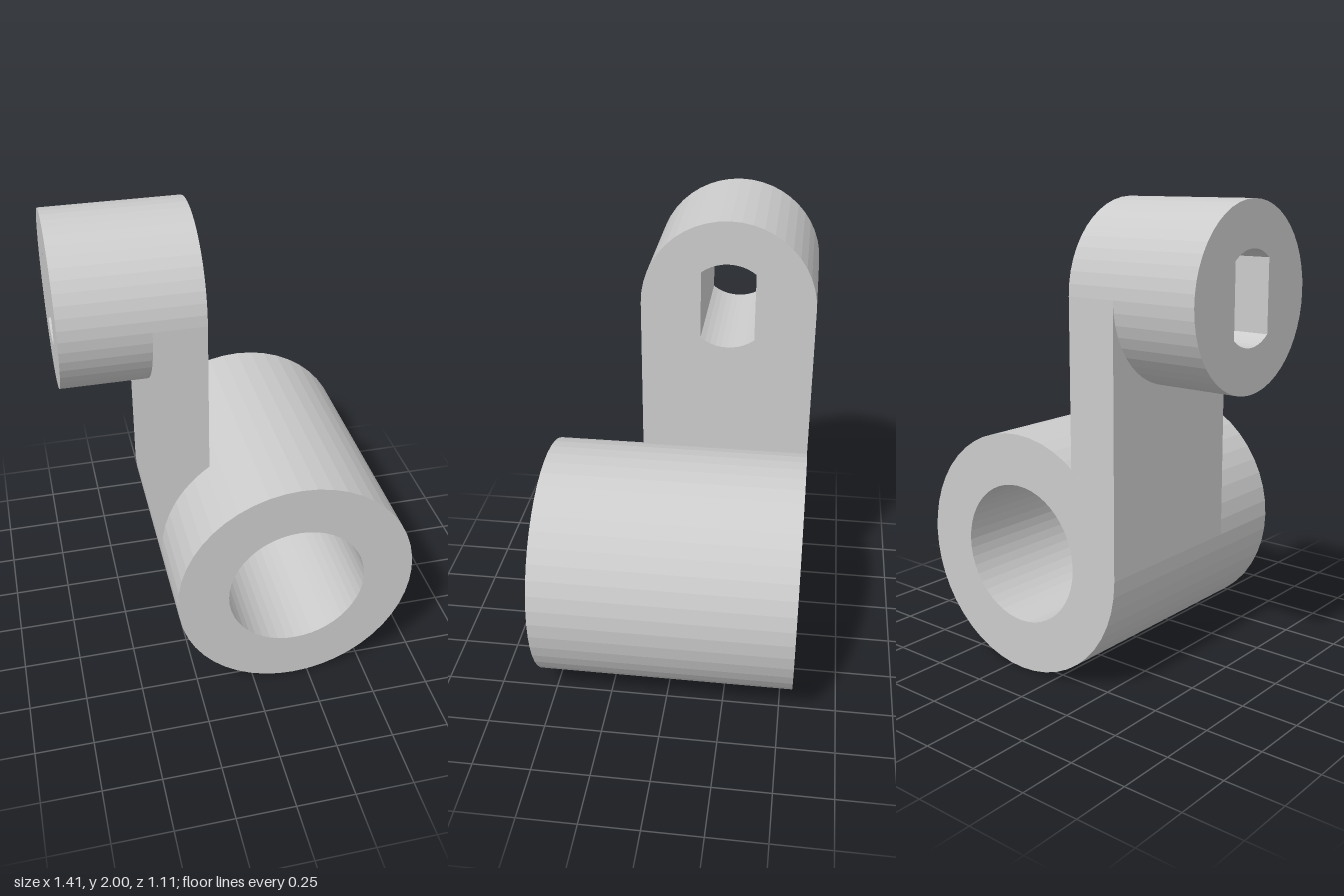
import * as THREE from 'three';

const SEG = 48; // sides of a full circle
const TUBE = { x: 0.185, y: 0.52, outer: 0.52, inner: 0.3, half: 0.555 };
const BOSS = { u: 0.185, y: 1.63, r: 0.37 }; // u = -z
const ARM = { outer: -0.335, inner: -0.115, bossEnd: -0.705 };
const SLOT = { r: 0.187, half: 0.115 };

// Points along a circular arc
function arc(cx, cy, r, from, to, n) {
  return Array.from({ length: n + 1 }, (_, i) => {
    const a = from + ((to - from) * i) / n;
    return new THREE.Vector2(cx + r * Math.cos(a), cy + r * Math.sin(a));
  });
}

const circle = (cx, cy, r) => arc(cx, cy, r, 0, 2 * Math.PI, SEG).slice(0, SEG);

// Hole with two flat sides and rounded ends
function slotHole() {
  const a = Math.acos(SLOT.half / SLOT.r);
  return new THREE.Path([
    ...arc(BOSS.u, BOSS.y, SLOT.r, a, Math.PI - a, 10),
    ...arc(BOSS.u, BOSS.y, SLOT.r, Math.PI + a, 2 * Math.PI - a, 10),
  ]);
}

// Extrude a side profile along x, from x0 to x1
function extrudeX(points, x0, x1, steps = 1) {
  const shape = new THREE.Shape(points);
  shape.holes.push(slotHole());
  const geo = new THREE.ExtrudeGeometry(shape, { depth: x1 - x0, steps, bevelEnabled: false });
  return geo.rotateY(Math.PI / 2).translate(x0, 0, 0);
}

export function createModel() {
  const group = new THREE.Group();
  const material = new THREE.MeshStandardMaterial({ color: 0xcccccc, flatShading: true });
  const add = (name, geo) => {
    const mesh = new THREE.Mesh(geo, material);
    mesh.name = name;
    group.add(mesh);
  };

  // Large bored sleeve running front to back
  const ring = new THREE.Shape(circle(TUBE.x, TUBE.y, TUBE.outer));
  ring.holes.push(new THREE.Path(circle(TUBE.x, TUBE.y, TUBE.inner)));
  const sleeve = new THREE.ExtrudeGeometry(ring, { depth: 2 * TUBE.half, bevelEnabled: false });
  add('sleeve', sleeve.translate(0, 0, -TUBE.half));

  // Upright arm with a round top; its foot follows the sleeve's outer curve
  const plate = extrudeX([
    new THREE.Vector2(BOSS.u - BOSS.r, TUBE.y),
    new THREE.Vector2(BOSS.u + BOSS.r, TUBE.y),
    ...arc(BOSS.u, BOSS.y, BOSS.r, 0, Math.PI, SEG / 2),
  ], ARM.outer, ARM.inner, 12);
  const pos = plate.attributes.position;
  for (let i = 0; i < pos.count; i++) {
    if (pos.getY(i) > TUBE.y + 0.01) continue;
    const dx = pos.getX(i) - TUBE.x;
    pos.setY(i, TUBE.y + Math.sqrt(Math.max(0, TUBE.outer ** 2 - dx * dx)));
  }
  plate.computeVertexNormals();
  add('arm', plate);

  // Round boss on the arm's outer face, sharing the slot
  add('boss', extrudeX(circle(BOSS.u, BOSS.y, BOSS.r), ARM.bossEnd, ARM.outer));

  return group;
}
